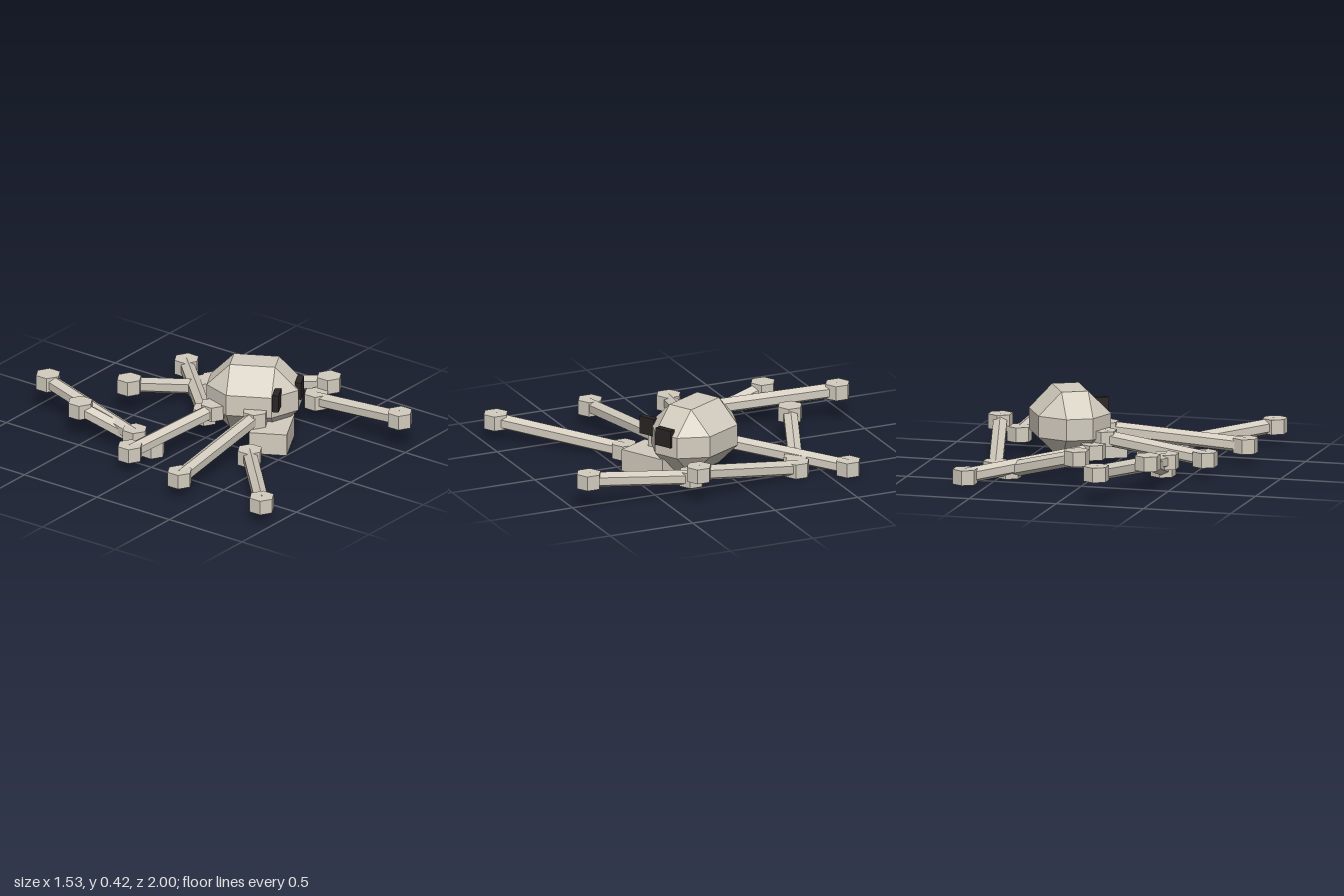
import * as THREE from 'three';
import { ConvexGeometry } from 'three/addons/geometries/ConvexGeometry.js';

const shell = new THREE.MeshStandardMaterial({ color: 0xd3ccbf, flatShading: true });
const dark = new THREE.MeshStandardMaterial({ color: 0x2b2525, flatShading: true });

const HEADING = 0.49; // the body is turned towards its left
const HIGH = 0.168, MID = 0.105, LOW = 0.042; // joint centre heights

function add(parent, name, geometry, material, x, y, z, yaw = 0) {
  const mesh = new THREE.Mesh(geometry, material);
  mesh.name = name;
  mesh.position.set(x, y, z);
  mesh.rotation.y = yaw;
  parent.add(mesh);
  return mesh;
}

// Box with all edges and corners cut at 45 degrees
function chamferedBox(hx, hy, hz, c) {
  const points = [];
  for (const sx of [-1, 1]) for (const sy of [-1, 1]) for (const sz of [-1, 1]) {
    points.push(
      new THREE.Vector3(sx * hx, sy * (hy - c), sz * (hz - c)),
      new THREE.Vector3(sx * (hx - c), sy * hy, sz * (hz - c)),
      new THREE.Vector3(sx * (hx - c), sy * (hy - c), sz * hz));
  }
  return new ConvexGeometry(points);
}

const jointGeometry = new THREE.CylinderGeometry(0.072, 0.072, 0.083, 6);

// Hexagonal bar between two upright hexagonal joints, one ridge kept on top
function legSegment(name, from, to) {
  const group = new THREE.Group();
  group.name = name;
  const a = new THREE.Vector3(...from), b = new THREE.Vector3(...to);
  for (const p of [a, b]) add(group, 'joint', jointGeometry, shell, p.x, p.y, p.z);
  const bar = new THREE.CylinderGeometry(0.044, 0.044, a.distanceTo(b), 6);
  bar.rotateZ(Math.PI).rotateX(Math.PI / 2);
  const mid = a.clone().add(b).multiplyScalar(0.5);
  add(group, 'bar', bar, shell, mid.x, mid.y, mid.z).lookAt(b);
  return group;
}

export function createModel() {
  const model = new THREE.Group();
  model.name = 'spiderRobot';

  // Body, lower block and eyes
  add(model, 'body', chamferedBox(0.205, 0.19, 0.256, 0.13), shell, 0.25, 0.225, 0.148, HEADING);
  add(model, 'jawBlock', new THREE.BoxGeometry(0.285, 0.125, 0.21), shell, 0.146, 0.0625, 0.346, HEADING);
  const eye = new THREE.BoxGeometry(0.102, 0.1, 0.036);
  add(model, 'rightEye', eye, dark, 0.148, 0.272, 0.378, HEADING);
  add(model, 'leftEye', eye, dark, 0.36, 0.272, 0.375, HEADING);

  // Leg segments: two joint centres each
  const segments = [
    [[-0.21, HIGH, -0.93], [-0.40, MID, -0.19]],
    [[-0.40, HIGH, -0.565], [-0.355, LOW, -0.10]],
    [[0.02, HIGH, 0.035], [-0.59, MID, 0.08 - 0.16]],
    [[0.08, HIGH, 0.28], [-0.70, MID, 0.345]],
    [[-0.705, MID, 0.915], [-0.13, LOW, 0.40]],
    [[0.015, HIGH, -0.54], [0.45, LOW, -0.375]],
    [[0.06, MID, -0.05], [0.635, LOW, -0.61]],
    [[0.70, HIGH, 0.325], [0.535, LOW, -0.345]],
    [[0.55, HIGH, 0.925], [0.59, MID, 0.32]],
  ];
  segments.forEach(([a, b], i) => model.add(legSegment('legSegment' + (i + 1), a, b)));
  return model;
}
